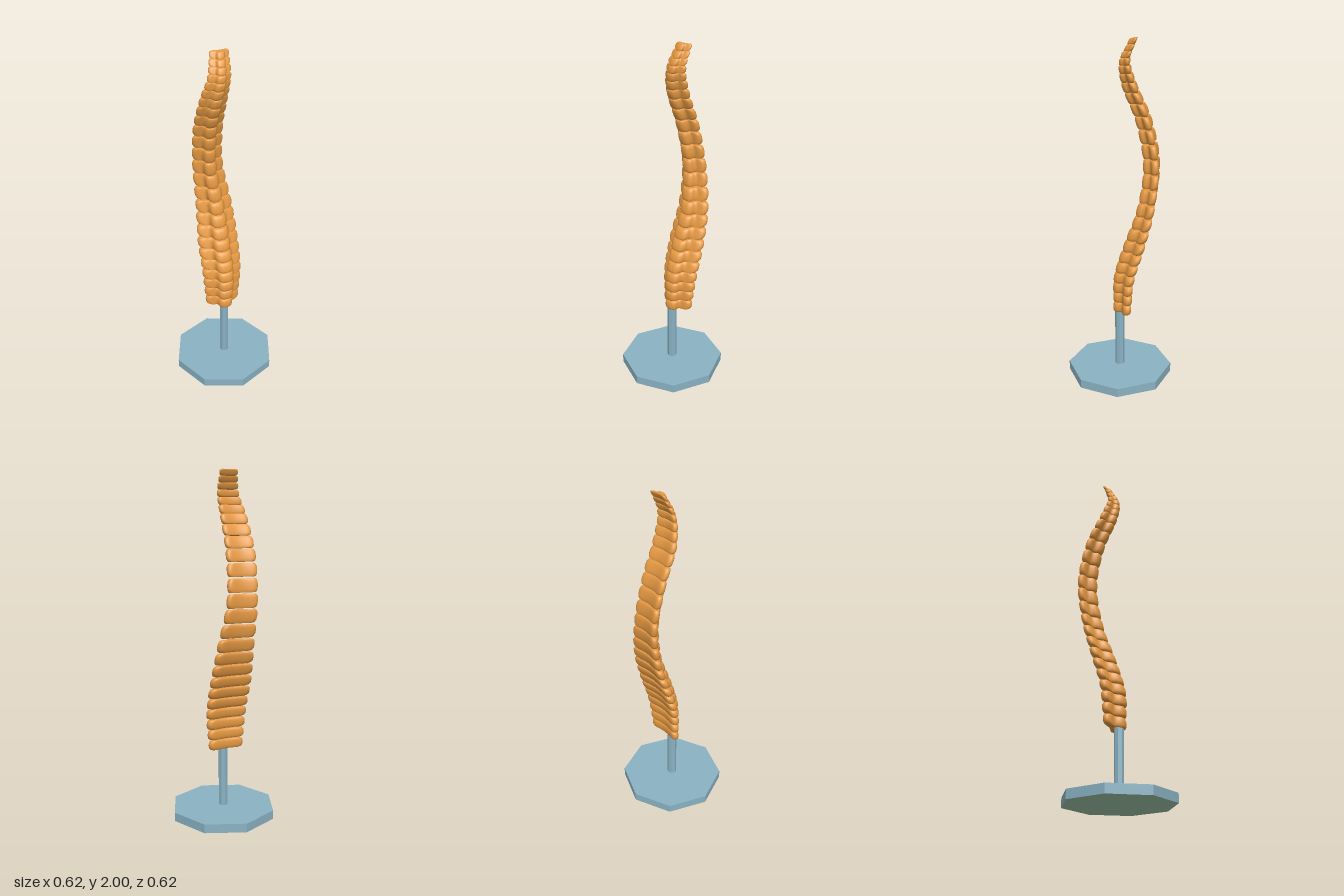
import * as THREE from 'three';

const bone = new THREE.MeshStandardMaterial({ color: 0xe89b44 });
bone.name = 'amber bone';
const metal = new THREE.MeshStandardMaterial({ color: 0x8ab2c3, flatShading: true });
metal.name = 'blue metal';
const felt = new THREE.MeshStandardMaterial({ color: 0x9ec2a4, flatShading: true });
felt.name = 'sage felt';

const COUNT = 25;
// Every third vertebra: y, x, z, half width, depth, height, yaw
const KEYS = [
  [0.442, 0.006, -0.016, 0.108, 0.108, 0.058, 0],
  [0.633, 0.010, -0.027, 0.125, 0.123, 0.059, 0],
  [0.829, 0.008, -0.083, 0.128, 0.123, 0.062, 0],
  [1.046, 0.005, -0.148, 0.112, 0.103, 0.070, -0.03],
  [1.295, -0.020, -0.177, 0.092, 0.093, 0.078, -0.06],
  [1.540, -0.033, -0.132, 0.088, 0.088, 0.068, -0.05],
  [1.735, -0.030, -0.053, 0.082, 0.083, 0.054, 0],
  [1.873, -0.010, -0.025, 0.067, 0.060, 0.037, 0],
  [1.983, 0.005, -0.067, 0.055, 0.045, 0.032, 0],
];

// Smooth interpolation through the key rows, by vertebra number
function sample(index) {
  const f = index / 3;
  const i = Math.max(0, Math.min(KEYS.length - 2, Math.floor(f)));
  const t = f - i;
  const row = (k) => KEYS[Math.max(0, Math.min(KEYS.length - 1, k))];
  const [a, b, c, d] = [row(i - 1), row(i), row(i + 1), row(i + 2)];
  return b.map((v, k) => {
    const m0 = (c[k] - a[k]) / (i === 0 ? 1 : 2);
    const m1 = (d[k] - v) / (i === KEYS.length - 2 ? 1 : 2);
    const t2 = t * t, t3 = t2 * t;
    return (2 * t3 - 3 * t2 + 1) * v + (t3 - 2 * t2 + t) * m0 + (3 * t2 - 2 * t3) * c[k] + (t3 - t2) * m1;
  });
}

// Three-lobed plan outline: rounded body in front, two swept wings, hollow back
const half = [[0.22, 0.47], [0.37, 0.33], [0.42, 0.14], [0.52, 0.01], [0.74, -0.04],
  [0.93, -0.14], [1, -0.29], [0.95, -0.43], [0.8, -0.5], [0.42, -0.44]];
const mirrored = half.map(([x, z]) => [-x, z]).reverse();
const outline = new THREE.CatmullRomCurve3(
  [[0, 0.5], ...half, [0, -0.4], ...mirrored].map(([x, z]) => new THREE.Vector3(x, 0, z)), true);

const SIDES = 56;
const RING = outline.getPoints(SIDES);
const LEVELS = [[-0.5, 0.83], [-0.43, 0.92], [-0.25, 0.985], [0, 1], [0.25, 0.985], [0.43, 0.92], [0.5, 0.83]];

// A cylinder whose rings are reshaped to the outline, with bulging sides
function vertebraGeometry(width, depth, height, leanX, leanZ) {
  const geo = new THREE.CylinderGeometry(1, 1, 1, SIDES, LEVELS.length - 1);
  const p = geo.attributes.position;
  for (let i = 0; i < p.count; i++) {
    const x = p.getX(i), z = p.getZ(i);
    const turn = (Math.atan2(x, z) / (2 * Math.PI) + 1) % 1;
    const [level, inset] = LEVELS[Math.round((p.getY(i) + 0.5) * (LEVELS.length - 1))];
    const o = RING[Math.round(turn * SIDES) % SIDES];
    const r = Math.hypot(x, z) * inset;
    const y = level * height;
    const pz = o.z * r * depth;
    // Sides lean along the spine, and the back sits slightly higher
    p.setXYZ(i, o.x * r * width + leanX * y, y - 0.1 * pz, pz + leanZ * y);
  }
  geo.computeVertexNormals();
  return geo;
}

export function createModel() {
  const model = new THREE.Group();
  model.name = 'spineOnStand';

  // Stand: octagonal base with a felt underside, and a pole
  const base = new THREE.Mesh(new THREE.CylinderGeometry(0.312, 0.312, 0.052, 8), [metal, metal, felt]);
  base.name = 'base';
  base.position.y = 0.026;
  const pole = new THREE.Mesh(new THREE.CylinderGeometry(0.028, 0.028, 0.37, 8), metal);
  pole.name = 'pole';
  pole.position.y = 0.235;
  model.add(base, pole);

  // Vertebrae stacked along the curved spine
  const spine = new THREE.Group();
  spine.name = 'spine';
  for (let i = 0; i < COUNT; i++) {
    const [y, x, z, width, depth, height, yaw] = sample(i);
    const below = sample(Math.max(0, i - 0.5)), above = sample(Math.min(COUNT - 1, i + 0.5));
    const rise = above[0] - below[0];
    const mesh = new THREE.Mesh(
      vertebraGeometry(width, depth, height, (above[1] - below[1]) / rise, (above[2] - below[2]) / rise), bone);
    mesh.name = 'vertebra' + (i + 1);
    mesh.position.set(x, y, z);
    mesh.rotation.y = yaw;
    spine.add(mesh);
  }
  model.add(spine);
  return model;
}
